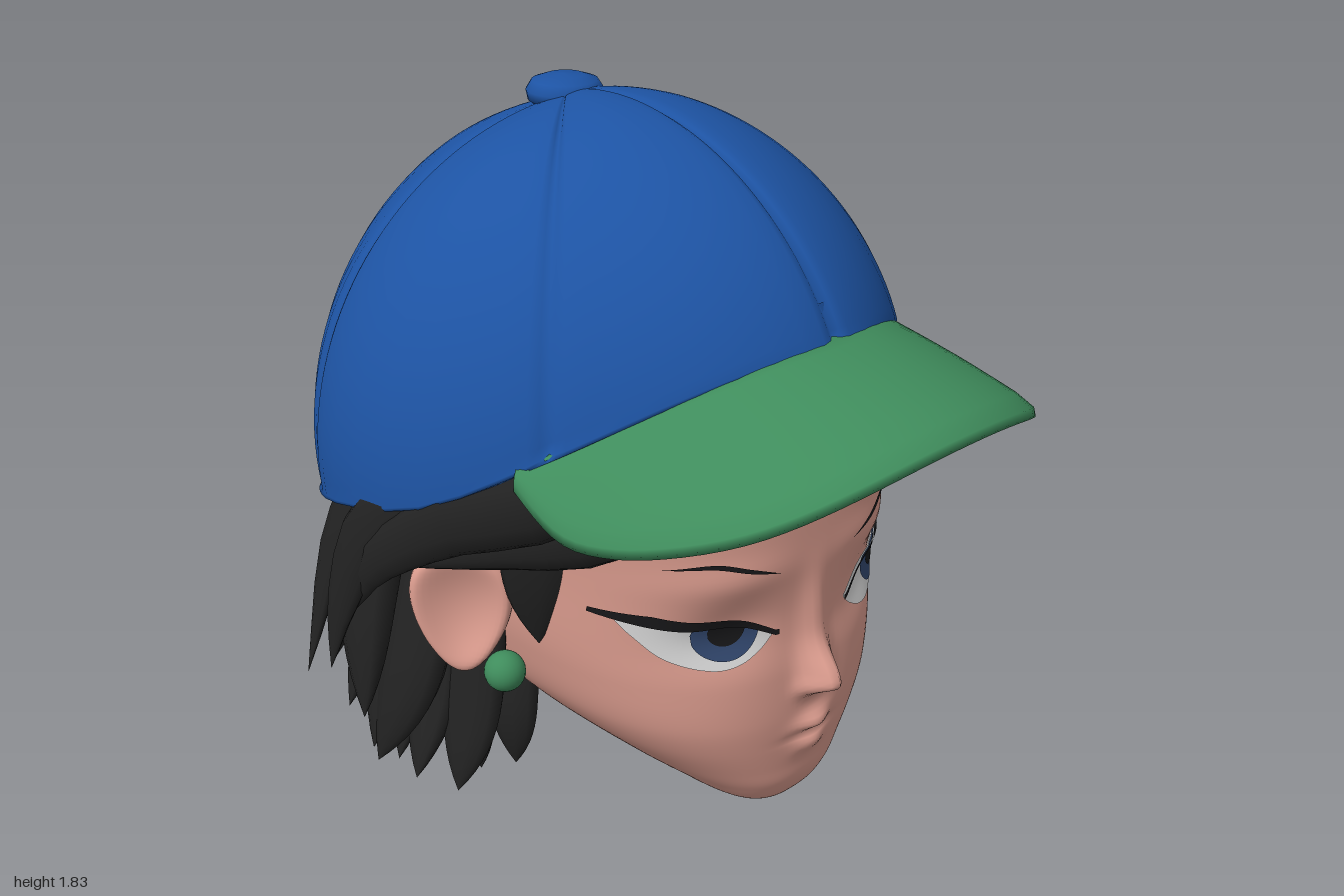
import * as THREE from 'three';
import { mergeGeometries } from 'three/addons/utils/BufferGeometryUtils.js';

const mat = (name, color, side = THREE.FrontSide) => {
  const m = new THREE.MeshStandardMaterial({ color, side });
  m.name = name;
  return m;
};
const V = (x, y, z) => new THREE.Vector3(x, y, z);

// Smooth interpolation of column k in a table whose first column is the key
function sample(tab, x, k = 1) {
  const n = tab.length;
  let i = 0;
  while (i < n - 2 && x > tab[i + 1][0]) i++;
  const slope = j => {
    const a = tab[Math.max(j - 1, 0)], b = tab[Math.min(j + 1, n - 1)];
    return (b[k] - a[k]) / (b[0] - a[0]);
  };
  const h = tab[i + 1][0] - tab[i][0], t = Math.min(1, Math.max(0, (x - tab[i][0]) / h));
  const t2 = t * t, t3 = t2 * t;
  return (2 * t3 - 3 * t2 + 1) * tab[i][k] + (t3 - 2 * t2 + t) * h * slope(i)
    + (3 * t2 - 2 * t3) * tab[i + 1][k] + (t3 - t2) * h * slope(i + 1);
}

// Skin rows of points into a smooth surface; closed joins the ends of each row
function loft(rows, closed = true) {
  const m = rows[0].length, pos = [], idx = [];
  rows.forEach(r => r.forEach(p => pos.push(p.x, p.y, p.z)));
  for (let i = 0; i < rows.length - 1; i++)
    for (let j = 0; j < (closed ? m : m - 1); j++) {
      const a = i * m + j, d = i * m + (j + 1) % m, b = a + m, c = d + m;
      idx.push(a, b, d, b, c, d);
    }
  const g = new THREE.BufferGeometry();
  g.setAttribute('position', new THREE.Float32BufferAttribute(pos, 3));
  g.setIndex(idx);
  g.computeVertexNormals();
  return g;
}

// Head levels: y, half width, front z, back z, z of widest point
const HEAD = [
  [.05, 0, .43, .39, .41], [.06, .07, .475, .35, .4], [.09, .145, .52, .24, .36], [.15, .225, .555, .04, .25],
  [.21, .295, .565, -.13, .17], [.3, .385, .575, -.35, .08], [.38, .44, .58, -.5, .02], [.5, .48, .575, -.6, -.03],
  [.6, .5, .565, -.66, -.05], [.8, .52, .57, -.7, -.05], [1, .55, .56, -.7, -.05], [1.2, .55, .51, -.68, -.07],
  [1.4, .45, .36, -.6, -.12], [1.55, .25, .12, -.45, -.17], [1.6, 0, -.18, -.22, -.2]];
const N = 2.6;
const bump = (x, y, cx, cy, sx, sy) => Math.exp(-(((x - cx) / sx) ** 2) - ((y - cy) / sy) ** 2);
// Nose, lips, eye sockets and brow
function relief(x, y) {
  const a = Math.abs(x);
  return .085 * bump(x, y, 0, .465, .042, y > .465 ? .085 : .035) + .025 * bump(x, y, 0, .62, .04, .12)
    + .015 * bump(a, y, .042, .45, .025, .025)
    + .032 * bump(x, y, 0, .335, .055, .025) + .022 * bump(x, y, 0, .268, .05, .03)
    - .012 * bump(x, y, 0, .302, .075, .01)
    - .03 * bump(a, y, .25, .65, .12, .08) + .012 * bump(a, y, .26, .8, .16, .05);
}
function faceZ(x, y) {
  const w = sample(HEAD, y, 1), zf = sample(HEAD, y, 2), c = sample(HEAD, y, 4);
  const q = Math.min(1, Math.abs(x) / w);
  return c + (zf - c) * (1 - q ** N) ** (1 / N) + relief(x, y);
}
function headGeometry() {
  const rows = [], R = 110, S = 168;
  for (let i = 0; i <= R; i++) {
    const y = .05 + 1.55 * (1 - i / R) ** 1.3, row = [];
    const [w, zf, zb, c] = [1, 2, 3, 4].map(k => sample(HEAD, y, k));
    for (let j = 0; j < S; j++) {
      const a = j / S * Math.PI * 2, s = Math.sin(a), k = Math.cos(a);
      const f = (Math.abs(s) ** N + Math.abs(k) ** N) ** (-1 / N), x = w * s * f;
      row.push(V(x, y, k > 0 ? c + (zf - c) * k * f + relief(x, y) : c + (c - zb) * k * f));
    }
    rows.push(row);
  }
  return loft(rows);
}
// Thin plate lying on the face between two curves over x
function facePatch(x0, x1, lo, hi, lift) {
  const rows = [];
  for (let i = 0; i <= 36; i++) {
    const x = x0 + (x1 - x0) * i / 36, a = lo(x), b = Math.max(a, hi(x)), row = [];
    for (let j = 0; j <= 10; j++) {
      const y = a + (b - a) * j / 10;
      row.push(V(x, y, faceZ(x, y) + lift));
    }
    rows.push(row);
  }
  return loft(rows, false);
}

// Cap rim by angle from the front: degrees, radius, rim height, sweep of the dome profile
const CAP = [
  [-12, .91, 1.355, 71], [0, .93, 1.37, 70], [12, .91, 1.355, 71], [27, .87, 1.28, 75], [45, .835, 1.15, 81],
  [67, .82, .99, 88], [85, .795, .92, 92], [100, .75, .86, 96], [120, .685, .8, 101], [137, .66, .765, 104],
  [159, .67, .73, 106], [180, .68, .715, 107], [201, .67, .73, 106]];
const CZ = -.32, TOP = 1.785, RAD = Math.PI / 180;
function capPoint(deg, t, off = 0) {
  const d = Math.abs(deg), [R, Y, F] = [1, 2, 3].map(k => sample(CAP, d, k));
  const p = F * RAD * t, front = Math.cos(deg * RAD);
  const r = R * Math.sin(p) / Math.sin(Math.min(F, 90) * RAD) + off * Math.sin(p);
  const y = TOP - (TOP - Y) * (1 - Math.cos(p)) / (1 - Math.cos(F * RAD))
    + ((front > 0 ? .08 : .04) * front - .02) * Math.sin(Math.PI * t ** .75) + off * Math.cos(p);
  return V(r * Math.sin(deg * RAD), y, CZ + r * Math.cos(deg * RAD));
}
function capGeometry() {
  const seams = [-180, -104, -45, 0, 45, 104, 180], cols = [];
  for (let i = 0; i < 6; i++)
    for (const u of [0, .025, .06, .14, .25, .38, .5, .62, .75, .86, .94, .975]) {
      const e = Math.min(u, 1 - u), dip = e === 0 ? -.016 : e < .03 ? -.005 : 0;
      cols.push([seams[i] + (seams[i + 1] - seams[i]) * u, dip + .008 * Math.sin(Math.PI * u)]);
    }
  const rows = [];
  for (let i = 0; i <= 36; i++)
    rows.push(cols.map(([d, o]) => capPoint(d, i / 36, o * Math.min(1, i / 9))));
  // rolled hem
  for (const [k, dy] of [[1.008, -.008], [.99, -.016], [.965, -.004], [.94, .08]])
    rows.push(cols.map(([d]) => {
      const p = capPoint(d, 1);
      return V(p.x * k, p.y + dy, CZ + (p.z - CZ) * k);
    }));
  return loft(rows);
}
function brimGeometry() {
  const half = [[.29, .95], [.48, .83], [.61, .62], [.66, .42], [.655, .22]];
  const edge = new THREE.CatmullRomCurve3([...half.map(([x, z]) => V(-x, 0, z)).reverse(), V(0, 0, 1),
    ...half.map(([x, z]) => V(x, 0, z))]);
  const rows = [], S = 56, K = 8;
  for (let i = 0; i <= S; i++) {
    const s = i / S * 2 - 1, a = capPoint(s * 50, 1), b = edge.getPoint(i / S), row = [];
    a.x *= .97; a.z = CZ + (a.z - CZ) * .97;
    // the edge arches down to the sides and lifts again at its rear corners
    b.y = 1.26 - .56 * b.x * b.x + .07 * (Math.max(0, Math.abs(s) - .75) / .25) ** 2;
    const at = (t, dy) => {
      const p = a.clone().lerp(b, t);
      p.y += .01 * Math.sin(Math.PI * t) + dy;
      return p;
    };
    for (let k = 0; k <= K; k++) row.push(at(1 - k / K - (k ? 0 : .015), k ? .008 : 0));
    for (let k = 0; k <= K; k++) row.push(at(k / K, k < K ? -.028 : -.02));
    rows.push(row);
  }
  return loft(rows);
}

// Tapered, flattened lock of hair along a path
function lock(pts, width, depth) {
  const path = new THREE.CatmullRomCurve3(pts), rows = [];
  for (let i = 0; i <= 14; i++) {
    const t = i / 14, p = path.getPoint(t), T = path.getTangent(t);
    const S = T.clone().cross(V(p.x, 0, p.z + .25).normalize()).normalize(), O = S.clone().cross(T);
    const k = i === 0 ? 0 : (.7 + .5 * t) * Math.max(0, 1 - t ** 2.6), row = [];
    for (let j = 0; j < 10; j++) {
      const f = j / 10 * Math.PI * 2;
      row.push(p.clone().addScaledVector(S, Math.cos(f) * width * k).addScaledVector(O, Math.sin(f) * depth * k));
    }
    rows.push(row);
  }
  return loft(rows);
}

export function createModel() {
  const group = new THREE.Group();
  const skin = mat('skin', 0xdf9f91), blue = mat('capBlue', 0x1d53a3, THREE.DoubleSide);
  const green = mat('green', 0x3f8c5c), hair = mat('hairBlack', 0x222222);
  const white = mat('eyeWhite', 0xdedede, THREE.DoubleSide), iris = mat('irisBlue', 0x344a72, THREE.DoubleSide);
  const dark = mat('lashBlack', 0x18181a, THREE.DoubleSide);
  const add = (name, geo, m) => {
    const mesh = new THREE.Mesh(geo, m);
    mesh.name = name;
    group.add(mesh);
    return mesh;
  };
  let seed = 7;
  const rnd = () => ((seed = (seed * 16807) % 2147483647) / 2147483647) * 2 - 1;

  add('head', headGeometry(), skin);
  add('capCrown', capGeometry(), blue);
  add('capBrim', brimGeometry(), green);
  const button = [[0, .05], [.05, .046], [.085, .034], [.1, .01], [.095, -.015], [.06, -.035]];
  add('capButton', new THREE.LatheGeometry(button.map(([x, y]) => new THREE.Vector2(x, y)).reverse(), 28), blue)
    .position.set(0, 1.782, -.33);

  // Eyes and brows
  const LID = [[.13, .63], [.2, .665], [.25, .678], [.35, .685], [.48, .712]];
  const LOW = [[.13, .625], [.16, .595], [.22, .564], [.29, .56], [.38, .598], [.43, .66], [.45, .695]];
  const BROW = [[.13, .8], [.22, .825], [.3, .85], [.4, .855]];
  const lid = x => sample(LID, Math.abs(x)), low = x => sample(LOW, Math.abs(x));
  for (const s of [-1, 1]) {
    const side = s > 0 ? 'left' : 'right';
    const patch = (name, a, b, lo, hi, lift, m) =>
      add(side + name, facePatch(Math.min(s * a, s * b), Math.max(s * a, s * b), lo, hi, lift), m);
    const disc = (name, r, cy, lift, m) => {
      const cx = s * .29 + .04, h = x => Math.sqrt(Math.max(0, r * r - (x - cx) ** 2));
      add(side + name, facePatch(cx - r, cx + r, x => Math.max(low(x), cy - h(x)),
        x => Math.min(lid(x), cy + h(x)), lift), m);
    };
    patch('EyeWhite', .13, .45, low, lid, .006, white);
    disc('Iris', .082, .662, .01, iris);
    disc('Pupil', .045, .664, .013, dark);
    patch('Lashes', .12, .48, x => lid(x) - .006, x => lid(x) + .008 + .07 * (Math.abs(x) - .12)
      * Math.min(1, (.48 - Math.abs(x)) * 14), .016, dark);
    patch('Brow', .13, .4, x => sample(BROW, Math.abs(x)),
      x => sample(BROW, Math.abs(x)) + .013 * Math.sin(Math.PI * (Math.abs(x) - .13) / .27), .007, dark);

    // Dished ear
    const ear = new THREE.SphereGeometry(1, 40, 28), p = ear.attributes.position;
    for (let i = 0; i < p.count; i++) {
      const x = p.getX(i), y = p.getY(i), z = p.getZ(i), q = Math.min(1, Math.hypot(y, z));
      p.setXYZ(i, .01 + (x > 0 ? .05 * q * q * Math.sqrt(1 - q ** 8) : .06 * x), y * .175, z * .16 * (.78 + .24 * y));
    }
    ear.computeVertexNormals();
    const e = add(side + 'Ear', ear, skin);
    e.position.set(s * .605, .635, -.06);
    e.rotation.y = s > 0 ? -.75 : Math.PI + .75;
    add(side + 'Earring', new THREE.SphereGeometry(.053, 24, 16), green).position.set(s * .555, .467, .035);

    // Parted front hair swept over the ears, and sideburn
    const sweeps = [
      [[-.08, 1.25, .48], [.18, 1.2, .49], [.37, 1.06, .44], [.49, .94, .33], [.62, .86, .1], [.74, .76, -.16]],
      [[.04, 1.27, .47], [.38, 1.17, .42], [.59, 1.02, .25], [.73, .93, .02], [.8, .8, -.14], [.8, .62, -.25]],
      [[.3, 1.25, .38], [.57, 1.1, .2], [.7, 1, 0], [.78, .88, -.17], [.82, .65, -.27], [.85, .45, -.3]],
      [[.45, 1.2, .28], [.61, 1.1, 0], [.69, 1, -.2], [.77, .8, -.33], [.87, .41, -.38]]];
    add(side + 'FrontHair', mergeGeometries(sweeps.map(l => lock(l.map(([x, y, z]) => V(s * x, y, z)), .11, .05))), hair);
    add(side + 'Sideburn', lock([[.51, 1, .2], [.53, .86, .15], [.525, .72, .12], [.495, .55, .1]]
      .map(([x, y, z]) => V(s * x, y, z)), .11, .03), hair);
  }

  // Hair mass and layered locks around the back
  const mass = new THREE.SphereGeometry(1, 40, 28);
  mass.scale(.61, .52, .56);
  add('hairMass', mass, hair).position.set(0, .8, -.3);
  // count, start angle, then root, middle and tip as [y, x radius, z radius], width
  const layers = [
    ['upperLocks', 13, 96, [1, .62, .5], [.68, .73, .6], [.36, .82, .7], .14],
    ['middleLocks', 14, 84, [.78, .57, .46], [.46, .66, .55], [.19, .77, .6], .13],
    ['lowerLocks', 14, 74, [.62, .52, .42], [.3, .58, .46], [.08, .68, .44], .115],
    ['napeLocks', 12, 71, [.5, .39, .3], [.2, .44, .34], [.02, .46, .32], .1],
    ['innerLocks', 8, 85, [.55, .28, .2], [.3, .33, .24], [.12, .34, .23], .1]];
  for (const [name, n, start, root, mid, tip, w] of layers) {
    const geos = [];
    for (let i = 0; i < n; i++) {
      const a = (start + (360 - 2 * start) * i / (n - 1)) * RAD, sway = rnd() * .16, dy = rnd();
      // drawn in at the diagonals to follow the cap
      const inset = 1 - .08 * Math.sin(2 * a) ** 2;
      const at = ([y, rx, rz], da, k, up) =>
        V(rx * k * inset * Math.sin(a + da), y + up, -.25 + rz * k * inset * Math.cos(a + da));
      geos.push(lock([at(root, 0, 1, 0), at(mid, sway * .2, 1 + .02 * rnd(), .03 * dy),
        at(tip, sway, 1 + .04 * rnd(), name === 'napeLocks' ? .015 * dy : .05 * dy)], w, w * .5));
    }
    add(name, mergeGeometries(geos), hair);
  }
  return group;
}
